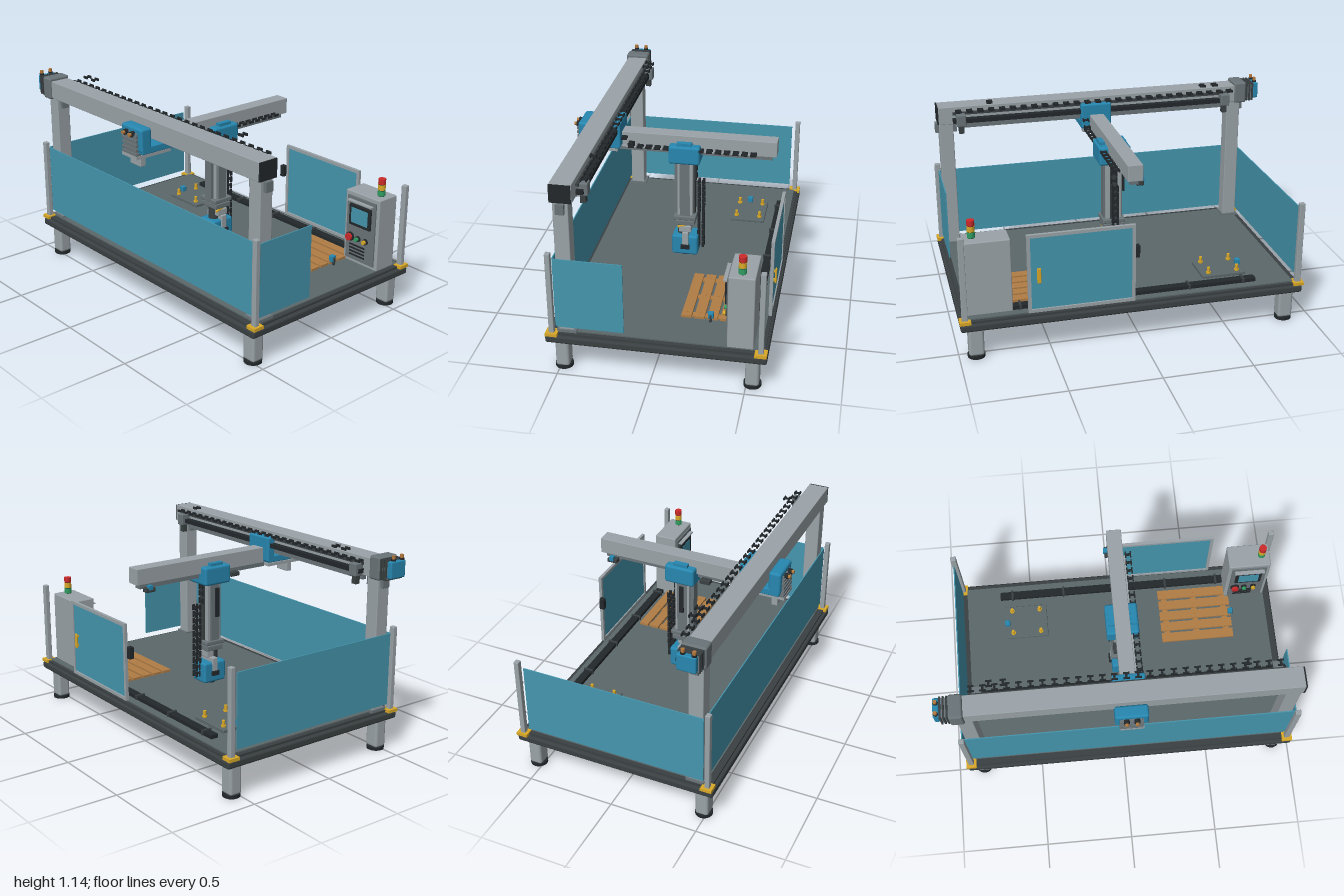
import * as THREE from 'three';
import { RoundedBoxGeometry } from 'three/addons/geometries/RoundedBoxGeometry.js';
import { mergeGeometries } from 'three/addons/utils/BufferGeometryUtils.js';

const C = { light: 0x9aa3a8, grey: 0x6a7478, floor: 0x5c686b, dark: 0x3a4042, black: 0x23282b, blue: 0x2787b0,
  panel: 0x4596ae, yellow: 0xd9a928, wood: 0xb07d45, red: 0xcc2a2a, green: 0x2f9e62, copper: 0xb5793c };
const mats = {};
const mat = (c) => (mats[c] ??= new THREE.MeshStandardMaterial({ color: C[c], side: THREE.DoubleSide }));

export function createModel() {
  const root = new THREE.Group();
  const group = (name) => { const g = new THREE.Group(); g.name = name; root.add(g); return g; };
  const add = (parent, name, color, geo, x, y, z) => {
    const m = new THREE.Mesh(geo, mat(color));
    m.name = name;
    m.position.set(x, y, z);
    parent.add(m);
    return m;
  };
  // Box given by its limits, with an optional softened edge
  const box = (p, name, color, x0, x1, y0, y1, z0, z1, bevel = 0) => {
    const s = [x1 - x0, y1 - y0, z1 - z0];
    const geo = bevel ? new RoundedBoxGeometry(...s, 2, bevel) : new THREE.BoxGeometry(...s);
    return add(p, name, color, geo, (x0 + x1) / 2, (y0 + y1) / 2, (z0 + z1) / 2);
  };
  const cyl = (p, name, color, r, y0, y1, x, z, n = 20) =>
    add(p, name, color, new THREE.CylinderGeometry(r, r, y1 - y0, n), x, (y0 + y1) / 2, z);
  const knob = (p, name, color, r, len, x, y, z) => {
    const m = add(p, name, color, new THREE.CylinderGeometry(r, r, len, 14), x, y, z);
    m.rotation.x = Math.PI / 2;
  };

  // H-shaped cable chain link running along x
  const linkGeo = mergeGeometries([-1, 1].map((s) => new THREE.BoxGeometry(0.034, 0.014, 0.007).translate(0, 0, s * 0.014))
    .concat(new THREE.BoxGeometry(0.012, 0.009, 0.028)));
  const link = (p, x, y, z, ry = 0, rz = 0) => {
    const m = add(p, 'chainLink', 'black', linkGeo, x, y, z);
    m.rotation.set(0, ry, rz);
  };

  // Base table
  const base = group('base');
  box(base, 'baseSlab', 'dark', -0.925, 0.99, 0.185, 0.228, -0.61, 0.56, 0.012);
  box(base, 'baseRim', 'dark', -0.905, 0.97, 0.22, 0.24, -0.595, 0.54);
  box(base, 'floorPlate', 'floor', -0.88, 0.945, 0.23, 0.247, -0.575, 0.505);
  box(base, 'undersideBox', 'grey', -0.035, 0.09, 0.168, 0.19, -0.07, 0.02, 0.004);
  for (const x of [-0.85, 0.907]) for (const z of [0.483, -0.532]) {
    box(base, 'leg', 'light', x - 0.042, x + 0.042, 0.015, 0.19, z - 0.037, z + 0.037, 0.015);
    cyl(base, 'foot', 'black', 0.048, 0, 0.018, x, z, 24);
  }

  // Safety fence
  const fence = group('fence');
  for (const x of [-0.905, 0.964]) for (const z of [0.525, -0.577]) {
    box(fence, 'cornerPad', 'yellow', x - 0.03, x + 0.03, 0.228, 0.246, z - 0.032, z + 0.032);
    box(fence, 'cornerPost', 'light', x - 0.016, x + 0.016, 0.24, 0.718, z - 0.014, z + 0.014, 0.004);
  }
  box(fence, 'frontPanel', 'panel', -0.895, 0.95, 0.275, 0.683, 0.503, 0.509);
  box(fence, 'rightPanel', 'panel', -0.908, -0.902, 0.275, 0.683, -0.542, 0.5);
  box(fence, 'leftPanel', 'panel', 0.955, 0.961, 0.275, 0.683, 0.14, 0.5);

  // Rear gate with frame, handle and latch
  const gate = group('gate');
  box(gate, 'gatePanel', 'panel', 0.05, 0.615, 0.27, 0.685, -0.588, -0.582);
  for (const x of [0.04, 0.608]) box(gate, 'gateStile', 'light', x, x + 0.018, 0.25, 0.7, -0.594, -0.576);
  for (const y of [0.25, 0.683]) box(gate, 'gateRail', 'light', 0.04, 0.626, y, y + 0.018, -0.594, -0.576);
  box(gate, 'gateHandle', 'yellow', 0.555, 0.577, 0.425, 0.512, -0.607, -0.597, 0.004);
  for (const y of [0.435, 0.49]) box(gate, 'handleMount', 'yellow', 0.56, 0.572, y, y + 0.012, -0.6, -0.585);
  box(gate, 'gateLatch', 'black', 0.012, 0.042, 0.5, 0.57, -0.582, -0.552, 0.004);

  // Gantry posts and cross beam
  const gantry = group('gantry');
  for (const x of [-0.85, 0.907]) {
    box(gantry, 'gantryPost', 'light', x - 0.041, x + 0.041, 0.24, 1.005, 0.408, 0.49, 0.005);
    box(gantry, 'postFlange', 'grey', x - 0.05, x + 0.05, 0.24, 0.256, 0.395, 0.5);
    box(gantry, 'beamBracket', 'grey', x - 0.062, x + 0.062, 0.945, 1.0, 0.425, 0.47);
  }
  box(gantry, 'crossBeam', 'light', -0.85, 0.95, 1.003, 1.105, 0.387, 0.503, 0.003);
  box(gantry, 'beamCap', 'black', 0.948, 0.957, 1.005, 1.104, 0.39, 0.503);
  box(gantry, 'lowerRail', 'grey', -0.78, 0.81, 0.972, 1.004, 0.4, 0.425);
  box(gantry, 'rearTray', 'black', -0.8, 0.87, 1.015, 1.04, 0.35, 0.388);
  box(gantry, 'rearRail', 'dark', -0.8, 0.87, 1.06, 1.075, 0.372, 0.388);
  for (const x of [-0.77, 0.825]) {
    box(gantry, 'railStop', 'grey', x - 0.027, x + 0.027, 1.0, 1.07, 0.33, 0.387, 0.006);
    box(gantry, 'railStopFoot', 'dark', x - 0.015, x + 0.015, 0.955, 1.0, 0.345, 0.375);
  }

  // Drive at the end of the cross beam
  const drive = group('beamDrive');
  box(drive, 'gearbox', 'grey', -0.92, -0.845, 0.995, 1.123, 0.38, 0.515, 0.012);
  for (let i = 0; i < 3; i++) box(drive, 'motorFin', 'dark', -0.967 + i * 0.018, -0.957 + i * 0.018, 1.005, 1.115, 0.385, 0.505);
  box(drive, 'motorBody', 'grey', -0.97, -0.915, 1.012, 1.107, 0.392, 0.498);
  box(drive, 'motorCap', 'blue', -1.0, -0.967, 1.018, 1.112, 0.39, 0.495, 0.008);
  for (const z of [0.42, 0.48]) {
    cyl(drive, 'plugBase', 'black', 0.013, 1.11, 1.122, -0.983, z, 12);
    cyl(drive, 'plug', 'copper', 0.01, 1.12, 1.14, -0.983, z, 12);
  }

  // Carriage riding on the cross beam, with finned motor
  const carriage = group('beamCarriage');
  box(carriage, 'frontPlate', 'blue', -0.06, 0.12, 0.935, 1.068, 0.505, 0.575, 0.014);
  box(carriage, 'rearPlate', 'blue', -0.06, 0.12, 0.93, 1.075, 0.335, 0.387, 0.01);
  box(carriage, 'saddlePlate', 'blue', -0.06, 0.12, 0.925, 0.965, 0.34, 0.57, 0.006);
  box(carriage, 'lowerPlate', 'light', -0.035, 0.095, 0.897, 0.915, 0.36, 0.592);
  box(carriage, 'cableBox', 'light', -0.02, 0.075, 0.842, 0.9, 0.515, 0.55, 0.004);
  box(carriage, 'motorBody', 'grey', -0.03, 0.085, 0.91, 1.04, 0.55, 0.583, 0.006);
  for (let i = 0; i < 5; i++) box(carriage, 'motorFin', 'grey', -0.036, 0.091, 0.915 + i * 0.025, 0.929 + i * 0.025, 0.56, 0.59);
  for (const x of [0, 0.056]) {
    knob(carriage, 'plugBase', 'black', 0.016, 0.02, x, 1.033, 0.588);
    knob(carriage, 'plug', 'copper', 0.01, 0.02, x, 1.033, 0.602);
  }

  // Arm reaching to the rear
  const arm = group('arm');
  box(arm, 'armBeam', 'light', -0.013, 0.071, 0.92, 1.011, -0.537, 0.38, 0.003);
  box(arm, 'armRail', 'grey', 0.005, 0.05, 0.893, 0.92, -0.51, 0.36);
  box(arm, 'chainShelf', 'light', 0.07, 0.085, 0.925, 0.932, -0.41, 0.33);
  for (const z of [-0.46, 0.12]) box(arm, 'limitSwitch', 'dark', -0.03, 0.01, 0.875, 0.9, z - 0.03, z + 0.03, 0.004);
  box(arm, 'switchCap', 'blue', -0.036, -0.01, 0.89, 0.915, -0.475, -0.45);

  // Cable chains of the beam, the arm and the lift column
  const chains = group('cableChains');
  for (let i = 0; i < 27; i++) link(chains, -0.8 + i * 0.063, 1.088, 0.35);
  for (const x of [-0.7, -0.625, 0.66]) link(chains, x, 1.135, 0.345);
  for (let i = 0; i < 15; i++) link(chains, 0.1, 0.942, -0.41 + i * 0.049, Math.PI / 2);
  link(chains, 0.1, 0.957, 0.277, Math.PI / 2);
  link(chains, 0.1, 0.988, 0.315, Math.PI / 2);
  for (let i = 0; i < 11; i++) {
    for (const z of [-0.098, -0.124]) {
      link(chains, 0.03, 0.315 + i * 0.04, z, Math.PI / 2, Math.PI / 2);
    }
  }
  for (const y of [0.75, 0.795, 0.835]) link(chains, 0.03, y, -0.08, Math.PI / 2, Math.PI / 2);

  // Lift carriage and column
  const lift = group('lift');
  box(lift, 'liftCarriage', 'blue', -0.06, 0.12, 0.855, 0.963, -0.113, 0.065, 0.014);
  for (const x of [-0.045, 0.078]) box(lift, 'carriageLug', 'blue', x, x + 0.03, 0.955, 0.98, -0.065, 0.02);
  box(lift, 'column', 'light', -0.015, 0.075, 0.49, 0.86, -0.068, 0.02, 0.003);
  for (const x of [-0.026, 0.074]) box(lift, 'columnRail', 'grey', x, x + 0.012, 0.51, 0.85, -0.05, 0.005);
  box(lift, 'columnRearRail', 'dark', 0.01, 0.05, 0.51, 0.85, -0.078, -0.066);
  box(lift, 'columnFrontRail', 'grey', 0.005, 0.055, 0.51, 0.855, 0.018, 0.04);
  box(lift, 'sideCable', 'black', -0.046, -0.034, 0.66, 0.83, -0.03, -0.005);
  box(lift, 'columnCollar', 'grey', -0.035, 0.095, 0.49, 0.516, -0.088, 0.04, 0.006);
  box(lift, 'endPlate', 'grey', -0.03, 0.09, 0.455, 0.485, -0.08, 0.03, 0.004);

  // Gripper head under the column
  const gripper = group('gripper');
  cyl(gripper, 'wrist', 'dark', 0.032, 0.38, 0.46, 0.03, -0.005);
  box(gripper, 'wristBracket', 'light', 0.0, 0.085, 0.408, 0.447, -0.06, 0.01, 0.004);
  box(gripper, 'wristCable', 'yellow', 0.07, 0.085, 0.445, 0.453, -0.04, 0.02).rotation.x = 0.35;
  box(gripper, 'bracketStem', 'light', -0.036, 0.096, 0.315, 0.41, -0.046, -0.01, 0.004);
  box(gripper, 'gripperBody', 'blue', -0.03, 0.09, 0.262, 0.385, -0.1, 0.052, 0.014);
  for (const x of [-0.045, 0.09]) box(gripper, 'jawClip', 'black', x, x + 0.015, 0.305, 0.332, -0.054, -0.002, 0.003);
  cyl(gripper, 'suctionPad', 'black', 0.035, 0.25, 0.266, 0.03, -0.025);

  // Control cabinet with screen, buttons, vents and signal tower
  const cab = group('controlCabinet');
  box(cab, 'cabinetBody', 'light', 0.7, 0.945, 0.24, 0.664, -0.535, -0.397, 0.006);
  box(cab, 'cabinetDoor', 'grey', 0.72, 0.925, 0.265, 0.64, -0.398, -0.389);
  box(cab, 'screenFrame', 'black', 0.745, 0.9, 0.475, 0.6, -0.39, -0.376, 0.004);
  box(cab, 'screen', 'panel', 0.763, 0.882, 0.493, 0.582, -0.378, -0.374);
  box(cab, 'visor', 'light', 0.735, 0.91, 0.615, 0.622, -0.392, -0.366);
  ['red', 'green', 'yellow'].forEach((c, i) => {
    const r = i ? 0.012 : 0.021;
    knob(cab, 'buttonBase', 'black', r + 0.005, 0.012, 0.755 + i * 0.055, 0.4, -0.384);
    knob(cab, 'button', c, r, 0.025, 0.755 + i * 0.055, 0.4, -0.376);
  });
  for (let i = 0; i < 4; i++) box(cab, 'vent', 'black', 0.75, 0.86, 0.29 + i * 0.02, 0.299 + i * 0.02, -0.39, -0.385);
  ['green', 'yellow', 'red'].forEach((c, i) => {
    cyl(cab, 'towerRing', 'black', 0.018, 0.66 + i * 0.034, 0.67 + i * 0.034, 0.895, -0.463);
    cyl(cab, 'towerLamp', c, 0.021, 0.667 + i * 0.034, 0.697 + i * 0.034, 0.895, -0.463);
  });

  // Wooden pallet and its sensor
  const pallet = group('pallet');
  for (const x of [0.31, 0.49, 0.67]) box(pallet, 'palletRunner', 'wood', x, x + 0.035, 0.245, 0.255, -0.45, -0.125);
  for (let i = 0; i < 5; i++) {
    const z = -0.455 + i * 0.07;
    box(pallet, 'palletSlat', 'wood', 0.292, 0.726, 0.253, 0.267, z, z + 0.055);
    for (const x of [0.328, 0.508, 0.688]) cyl(pallet, 'nail', 'copper', 0.005, 0.266, 0.269, x, z + 0.027, 8);
  }
  box(pallet, 'sensor', 'blue', 0.71, 0.738, 0.265, 0.302, -0.295, -0.265, 0.004);
  box(pallet, 'sensorPost', 'dark', 0.73, 0.742, 0.245, 0.29, -0.286, -0.274);

  // Fixture plate with locating pins
  const fixture = group('fixture');
  box(fixture, 'fixturePlate', 'floor', -0.65, -0.397, 0.245, 0.264, -0.432, -0.228, 0.004);
  for (const x of [-0.608, -0.44]) for (const z of [-0.4, -0.258]) {
    cyl(fixture, 'pin', 'yellow', 0.009, 0.26, 0.3, x, z, 12);
    cyl(fixture, 'pinCollar', 'yellow', 0.014, 0.26, 0.272, x, z, 12);
  }
  box(fixture, 'fixtureSensor', 'blue', -0.655, -0.625, 0.262, 0.295, -0.335, -0.305, 0.004);

  // Cable duct along the rear of the floor
  const duct = group('cableDuct');
  box(duct, 'duct', 'black', -0.675, 0.71, 0.245, 0.268, -0.53, -0.485);
  for (let i = 0; i < 5; i++) box(duct, 'ductClip', 'dark', -0.607 + i * 0.315, -0.595 + i * 0.315, 0.245, 0.274, -0.537, -0.478);
  return root;
}
